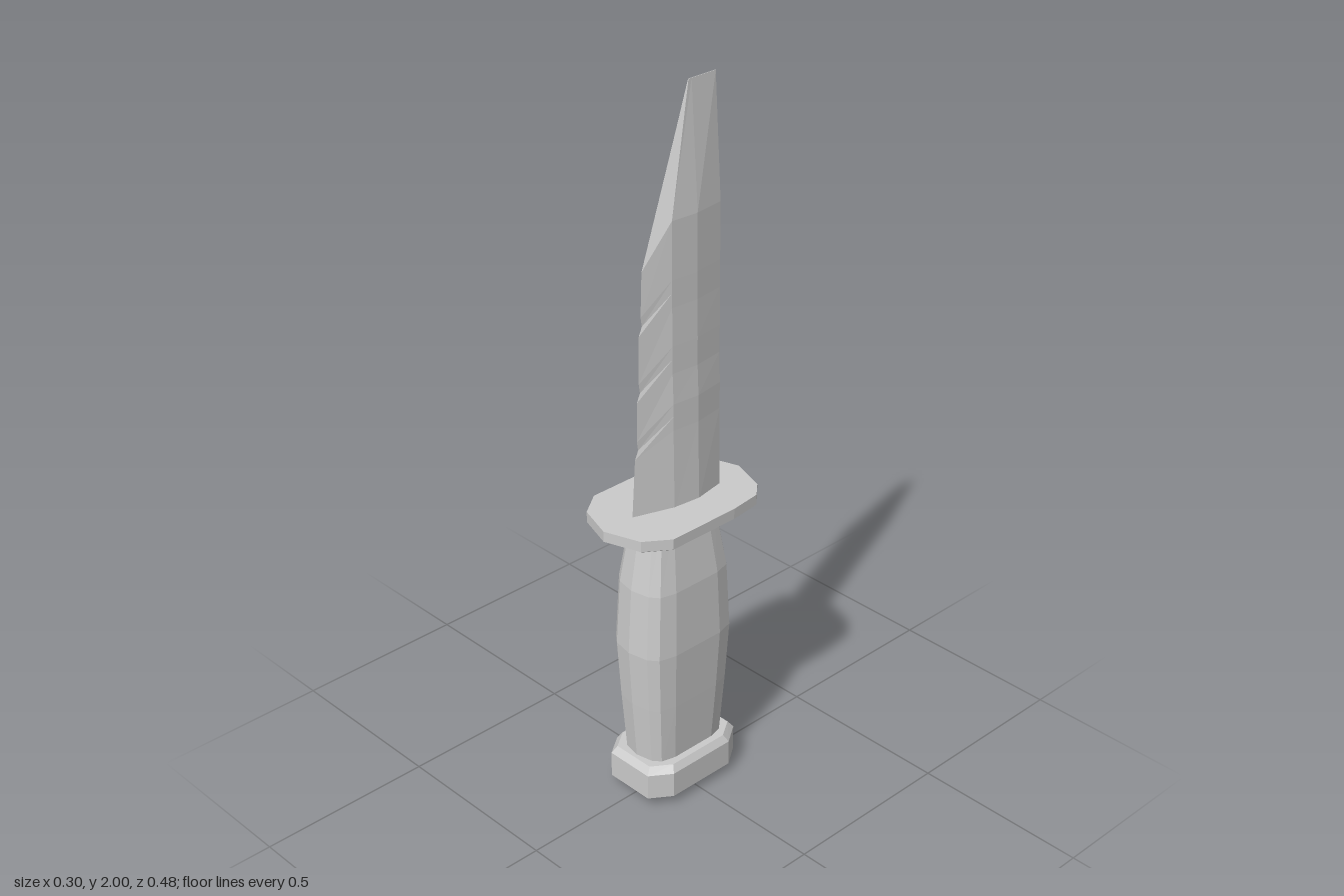
import * as THREE from 'three';

// Half outlines run from the front (+z) over +x to the back; mirror them into a ring.
function mirrorRing(half) {
  const other = half.filter(p => p[0] > 0 || p[3]).reverse().map(p => [-p[0], p[1], p[2]]);
  return [...half.map(p => p.slice(0, 3)), ...other];
}

// Faceted skin through matching rings, closed with a fan at both ends.
function loft(name, rings) {
  const pos = [], n = rings[0].length;
  const tri = (...pts) => pts.forEach(p => pos.push(...p));
  const centre = r => [0, 1, 2].map(k => r.reduce((s, p) => s + p[k], 0) / n);
  for (let r = 0; r < rings.length - 1; r++) {
    for (let i = 0; i < n; i++) {
      const j = (i + 1) % n, a = rings[r], b = rings[r + 1];
      tri(a[i], a[j], b[j]);
      tri(a[i], b[j], b[i]);
    }
  }
  const low = rings[0], high = rings[rings.length - 1];
  const cl = centre(low), ch = centre(high);
  for (let i = 0; i < n; i++) {
    const j = (i + 1) % n;
    tri(cl, low[j], low[i]);
    tri(ch, high[i], high[j]);
  }
  const geo = new THREE.BufferGeometry();
  geo.setAttribute('position', new THREE.Float32BufferAttribute(pos, 3));
  geo.computeVertexNormals();
  const mesh = new THREE.Mesh(geo, new THREE.MeshStandardMaterial({ color: 0xcccccc, flatShading: true }));
  mesh.name = name;
  return mesh;
}

// Scale one unit half outline to levels of [y, half width, half depth].
const scaled = (outline, levels) => levels.map(([y, w, d]) =>
  mirrorRing(outline.map(([x, z]) => [x * w, y, z * d])));

export function createModel() {
  const group = new THREE.Group();

  // Pommel: bevelled octagonal block
  const octagon = [[0.64, 1], [1, 0.64], [1, -0.64], [0.64, -1]];
  group.add(loft('pommel', scaled(octagon, [
    [0, 0.065, 0.125], [0.03, 0.113, 0.163], [0.105, 0.113, 0.163], [0.125, 0.1, 0.148],
  ])));

  // Handle: swelling grip
  const grip = [[0, 1], [0.6, 0.93], [0.87, 0.8], [1, 0.5], [1, -0.5], [0.87, -0.8], [0.6, -0.93], [0, -1]];
  group.add(loft('handle', scaled(grip, [
    [0.115, 0.08, 0.135], [0.3, 0.09, 0.15], [0.47, 0.097, 0.161],
    [0.66, 0.091, 0.15], [0.85, 0.066, 0.118],
  ])));

  // Guard: flat plate with a bevelled underside
  const plate = [[0, 1], [0.68, 0.86], [1, 0.58], [1, -0.31], [0.93, -0.69], [0.68, -0.86], [0, -1]];
  group.add(loft('guard', scaled(plate, [
    [0.836, 0.135, 0.222], [0.848, 0.149, 0.242], [0.878, 0.149, 0.242],
  ])));

  // Blade: wedge section with a flat spine; slant lifts the bevel above the nicked edge
  const section = (y, edge, slant, w) => mirrorRing([
    [0, y, edge], [w * 0.82, y + slant, 0.03], [w, y + slant, -0.05], [w * 0.65, y + slant, -0.14],
  ]);
  const blade = [section(0.87, 0.143, 0, 0.046)];
  const nicks = [[1.04, 0.132, 0.041], [1.2, 0.124, 0.037], [1.38, 0.116, 0.035]];
  for (const [y, edge, w] of nicks) {
    blade.push(section(y, edge, 0.06, w));
    blade.push(section(y + 0.025, edge - 0.011, 0.075, w));
    blade.push(section(y + 0.05, edge - 0.007, 0.085, w));
  }
  blade.push(section(1.55, 0.105, 0.12, 0.034));
  // Clipped tip closes to a thin ridge
  blade.push(mirrorRing([[0, 2, -0.05], [0.0008, 2, -0.05], [0.0008, 2, -0.06], [0.0008, 2, -0.14]]));
  group.add(loft('blade', blade));

  return group;
}
